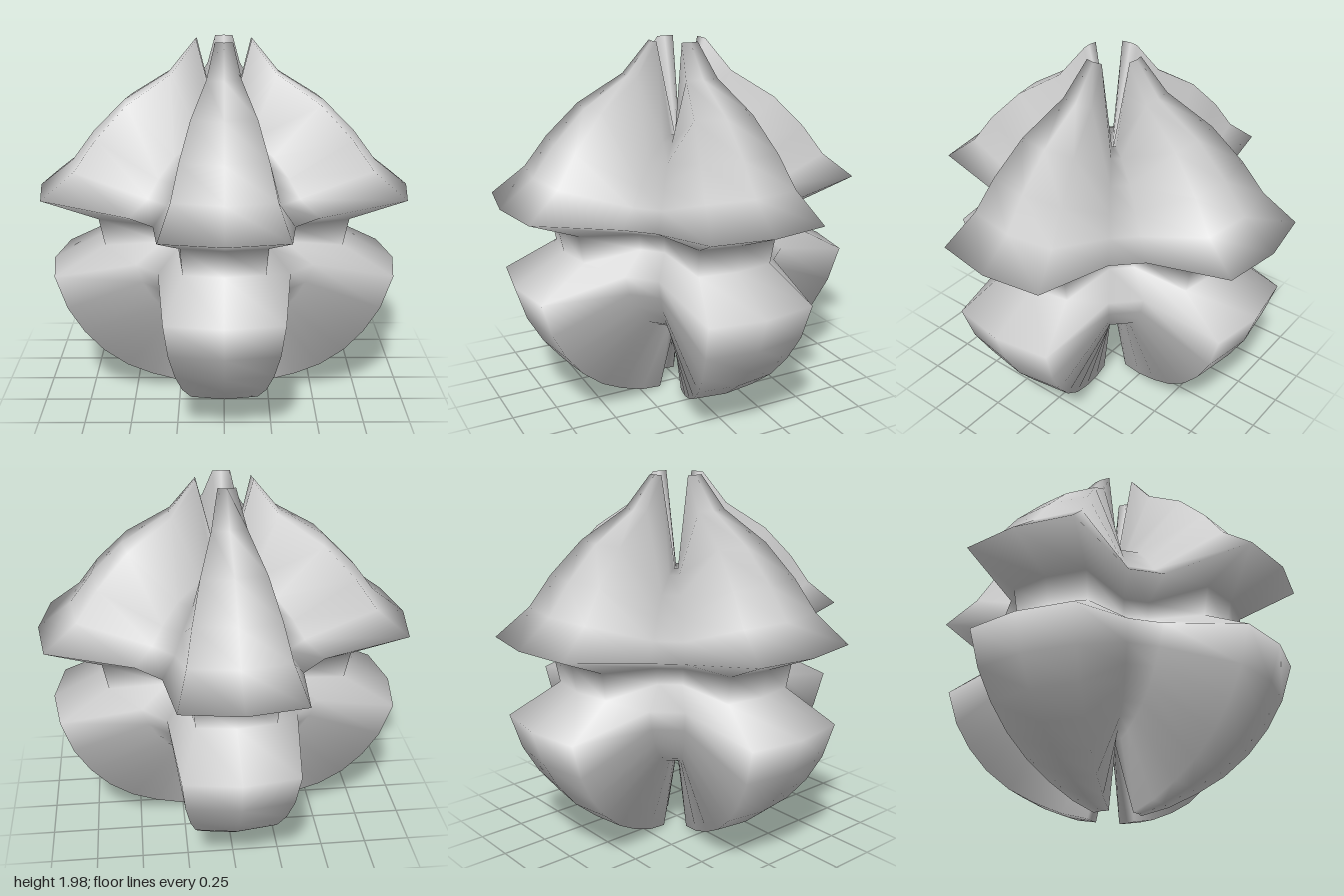
import * as THREE from 'three';

// Ridge profile of a lobe, top to bottom: [radius, height, valley scale]
const PROFILE = [
  [0.15, 1.99, 0.5], [0.29, 1.82, 0.58], [0.53, 1.67, 0.6], [0.7, 1.5, 0.6],
  [0.82, 1.34, 0.6], [1, 1.2, 0.61], [0.7, 1.07, 0.61], [0.67, 0.92, 0.61],
  [0.95, 0.77, 0.61], [0.89, 0.58, 0.6], [0.805, 0.43, 0.6], [0.7, 0.3, 0.6],
  [0.57, 0.19, 0.6], [0.43, 0.11, 0.6], [0.28, 0.045, 0.6], [0.14, 0.01, 0.6],
];
const TOP = 1.42, BOTTOM = 0.42, CENTRE = 1, SIDES = 20;

function lobedGeometry() {
  const pos = [], index = [];
  // Rings of 20 points: three on each lobe, two pulled to the centre in each valley
  for (const [r, y, valley] of PROFILE) {
    for (let j = 0; j < SIDES; j++) {
      const a = (j / SIDES) * Math.PI * 2;
      const s = j % 5 === 2 || j % 5 === 3 ? valley : 1;
      pos.push(r * s * Math.cos(a), CENTRE + (y - CENTRE) * s, r * s * Math.sin(a));
    }
  }
  const rings = PROFILE.length, top = rings * SIDES, bottom = top + 1;
  pos.push(0, TOP, 0, 0, BOTTOM, 0); // sunken poles
  for (let j = 0; j < SIDES; j++) {
    const k = (j + 1) % SIDES, last = (rings - 1) * SIDES;
    index.push(top, k, j, bottom, last + j, last + k);
    for (let i = 0; i < rings - 1; i++) {
      const a = i * SIDES + j, b = i * SIDES + k, c = a + SIDES, d = b + SIDES;
      index.push(a, b, c, b, d, c);
    }
  }
  const g = new THREE.BufferGeometry();
  g.setAttribute('position', new THREE.Float32BufferAttribute(pos, 3));
  g.setIndex(index);
  g.computeVertexNormals();
  return g;
}

export function createModel() {
  const group = new THREE.Group();
  group.name = 'lobedSphere';
  const body = new THREE.Mesh(lobedGeometry(), new THREE.MeshStandardMaterial({ color: 0xcccccc }));
  body.name = 'lobedBody';
  group.add(body);
  return group;
}
